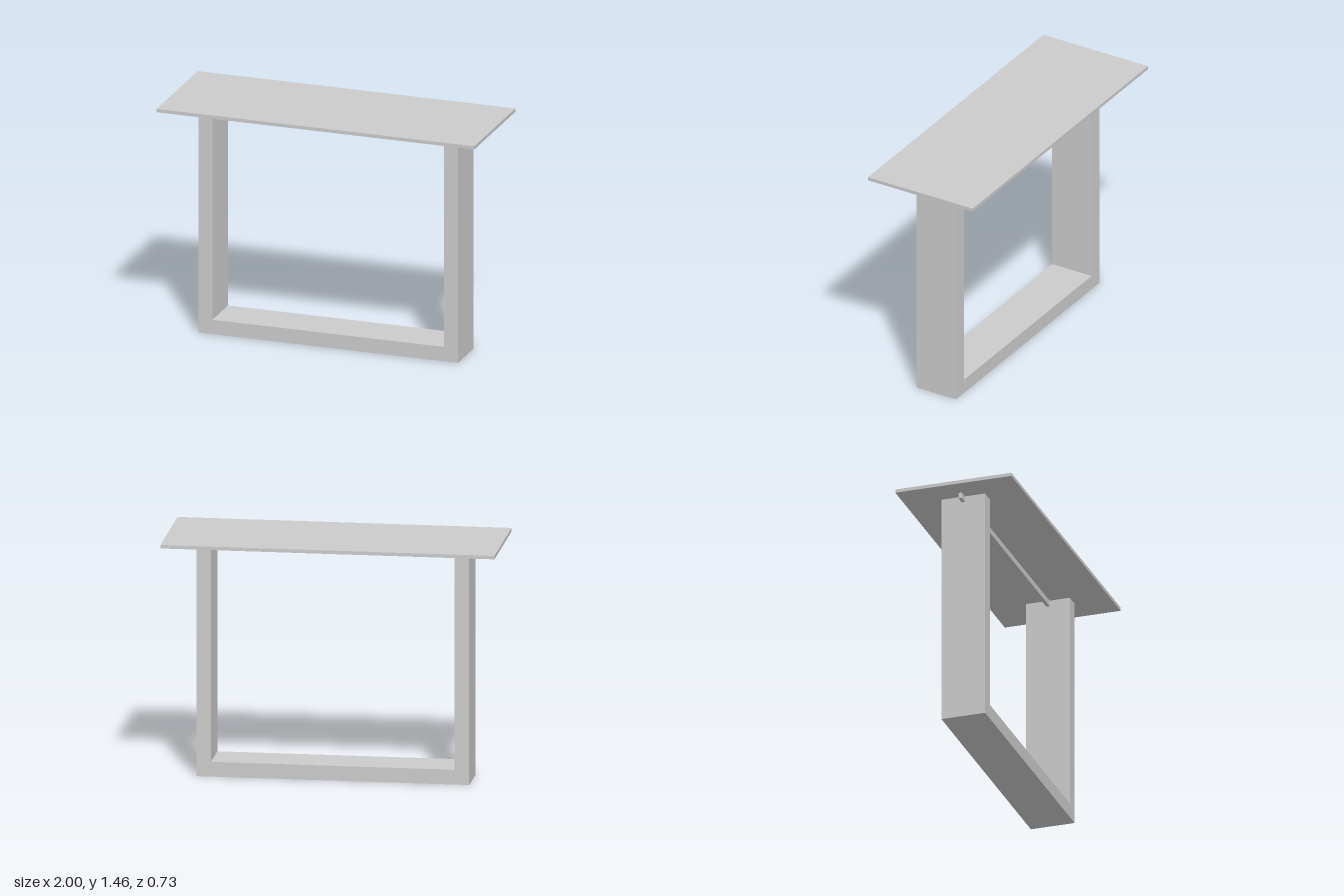
import * as THREE from 'three';

export function createModel() {
  const model = new THREE.Group();
  model.name = 'consoleTable';
  const material = new THREE.MeshStandardMaterial({ color: 0xcccccc });

  const add = (name, geometry, y = 0) => {
    const mesh = new THREE.Mesh(geometry, material);
    mesh.name = name;
    mesh.position.y = y;
    model.add(mesh);
  };

  const height = 1.455, topThickness = 0.021;
  const underside = height - topThickness;

  // Thin rectangular top
  add('tableTop', new THREE.BoxGeometry(2, topThickness, 0.726), height - topThickness / 2);

  // U-shaped frame: two upright slabs joined by a floor slab
  const outer = 0.817, inner = 0.729, floor = 0.09, depth = 0.274;
  const profile = new THREE.Shape([
    [-outer, 0], [outer, 0], [outer, underside], [inner, underside],
    [inner, floor], [-inner, floor], [-inner, underside], [-outer, underside],
  ].map(([x, y]) => new THREE.Vector2(x, y)));
  const frame = new THREE.ExtrudeGeometry(profile, { depth, bevelEnabled: false });
  frame.translate(0, 0, -depth / 2);
  add('legFrame', frame);

  // Narrow rail under the top, passing through both uprights
  const railHeight = 0.036;
  add('supportRail', new THREE.BoxGeometry(1.75, railHeight, 0.021), underside - railHeight / 2);

  return model;
}
